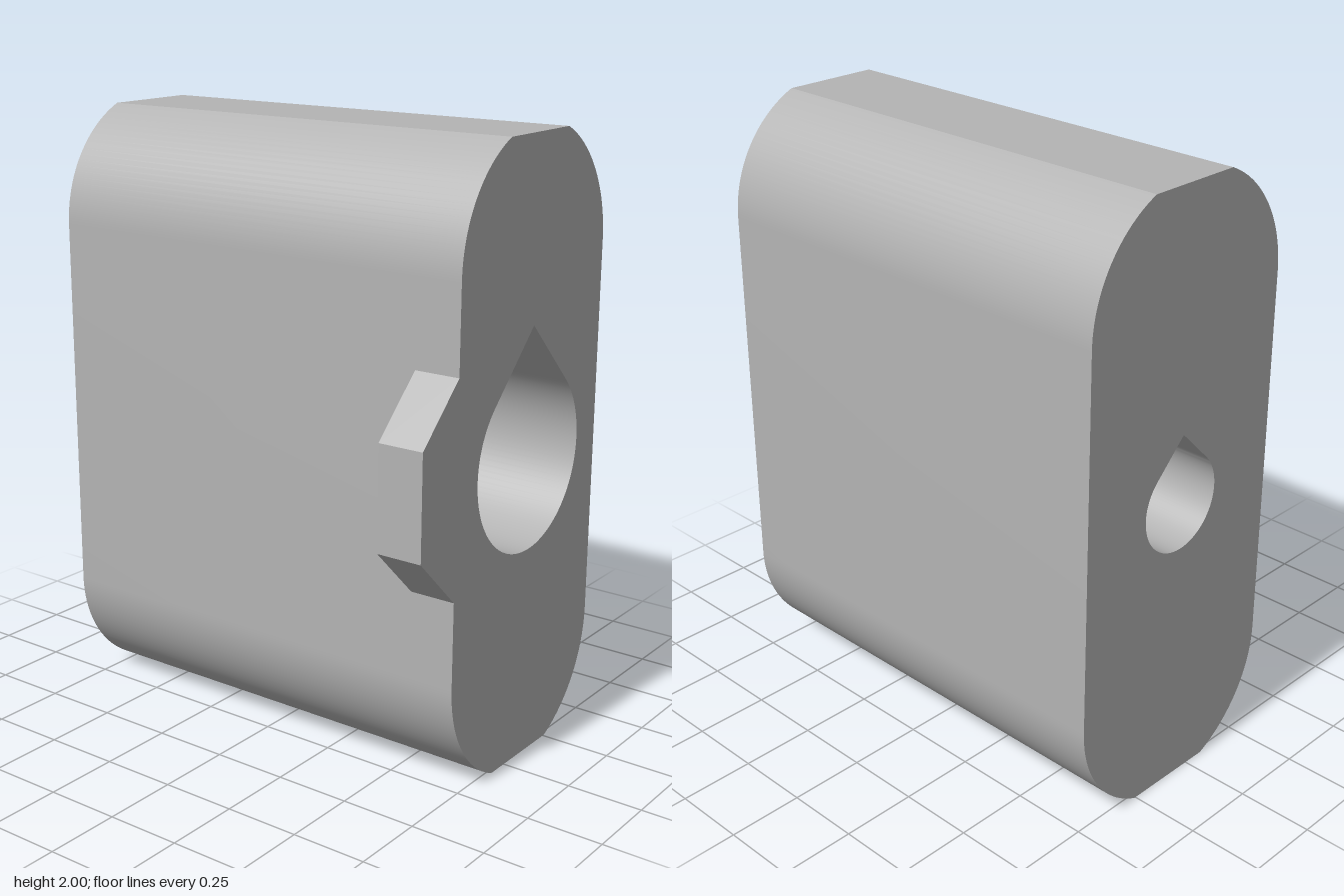
import * as THREE from 'three';
import { mergeVertices, toCreasedNormals } from 'three/addons/utils/BufferGeometryUtils.js';

const X0 = -0.767, X1 = 0.765;      // ends of the body
const HALF = 0.4125, FLAT = 0.165;  // half depth, half width of the top flat
const AXIS_Y = 1, AXIS_Z = -0.09;   // bore axis
const SEG = 96;

// Skin between successive closed rings; each ring is { x, pts } with counter-clockwise points
function loft(rings) {
  const pos = [];
  const tri = (a, b, c) => {
    const n = b.clone().sub(a).cross(c.clone().sub(a));
    if (n.length() > 1e-9) for (const p of [a, b, c]) pos.push(p.z, p.y, -p.x);
  };
  for (let k = 0; k + 1 < rings.length; k++) {
    const [r, s] = [rings[k], rings[k + 1]];
    for (let i = 0; i < r.pts.length; i++) {
      const j = (i + 1) % r.pts.length;
      const at = (ring, m) => new THREE.Vector3(ring.pts[m].x, ring.pts[m].y, ring.x);
      const [a, b, c, d] = [at(r, i), at(r, j), at(s, j), at(s, i)];
      tri(a, b, c);
      tri(a, c, d);
    }
  }
  const geo = new THREE.BufferGeometry();
  geo.setAttribute('position', new THREE.Float32BufferAttribute(pos, 3));
  return toCreasedNormals(mergeVertices(geo), 0.25);
}

// Closed curve around the bore axis from a radius rule (angle measured from straight up)
function polar(radius) {
  return Array.from({ length: SEG }, (_, i) => {
    const a = (i / SEG) * Math.PI * 2;
    const r = radius(Math.min(a, Math.PI * 2 - a));
    return new THREE.Vector2(-Math.sin(a) * r, AXIS_Y + Math.cos(a) * r);
  });
}

// Circle with a 45 degree pointed roof
const tear = (R) => (a) => (a < Math.PI / 4 ? R / Math.cos(Math.PI / 4 - a) : R);

// Rounded outline with flattened top and bottom
function outline() {
  const end = Math.acos(FLAT / HALF);
  const cy = 2 - HALF * Math.sin(end);
  const quarter = [];
  for (let i = 0; i <= 24; i++) {
    const a = (end * i) / 24;
    quarter.push(new THREE.Vector2(HALF * Math.cos(a), cy + HALF * Math.sin(a)));
  }
  const mirror = (sx, flip) => quarter.map((p) => new THREE.Vector2(sx * p.x, flip ? 2 - p.y : p.y));
  return [...mirror(1, false), ...mirror(-1, false).reverse(), ...mirror(-1, true), ...mirror(1, true).reverse()];
}

export function createModel() {
  const group = new THREE.Group();
  const grey = new THREE.MeshStandardMaterial({ color: 0xb4b4b4 });
  grey.name = 'plain grey';
  const add = (name, geo) => {
    const mesh = new THREE.Mesh(geo, grey);
    mesh.name = name;
    mesh.position.z = AXIS_Z;
    group.add(mesh);
  };

  const RB = 0.298, RS = 0.16;
  const pts = outline(), big = polar(tear(RB)), small = polar(tear(RS));

  // Outer wall
  add('bodyWall', loft([{ x: X0, pts }, { x: X1, pts }]));

  // End faces with their bore openings
  for (const [name, x, hole, side] of [['leftEnd', X1, big, 1], ['rightEnd', X0, small, -1]]) {
    const shape = new THREE.Shape(pts);
    shape.holes.push(new THREE.Path(hole));
    add(name, new THREE.ShapeGeometry(shape).rotateY((side * Math.PI) / 2).translate(x, 0, 0));
  }

  // Bore: wide pointed pocket, flat ledge, cone, narrow pointed passage
  const ledge = -0.1, throat = -0.42;
  const rings = [{ x: X1, pts: big }, { x: ledge, pts: big }];
  for (let i = 0; i <= 16; i++) {
    const t = i / 16, r = RB + (RS - RB) * t;
    rings.push({ x: ledge + (throat - ledge) * t, pts: polar((a) => Math.max(r, tear(RS)(a))) });
  }
  rings.push({ x: X0, pts: small });
  add('bore', loft(rings));

  // Locating tab on the front, flush with the left end
  const tab = new THREE.Shape([
    [-HALF, 1.345], [-0.593, 1.17], [-0.593, 0.835], [-HALF, 0.66],
  ].map(([u, y]) => new THREE.Vector2(u, y)));
  const tabGeo = new THREE.ExtrudeGeometry(tab, { depth: X1 - 0.614, bevelEnabled: false });
  add('tab', tabGeo.rotateY(Math.PI / 2).translate(0.614, 0, 0));

  return group;
}
